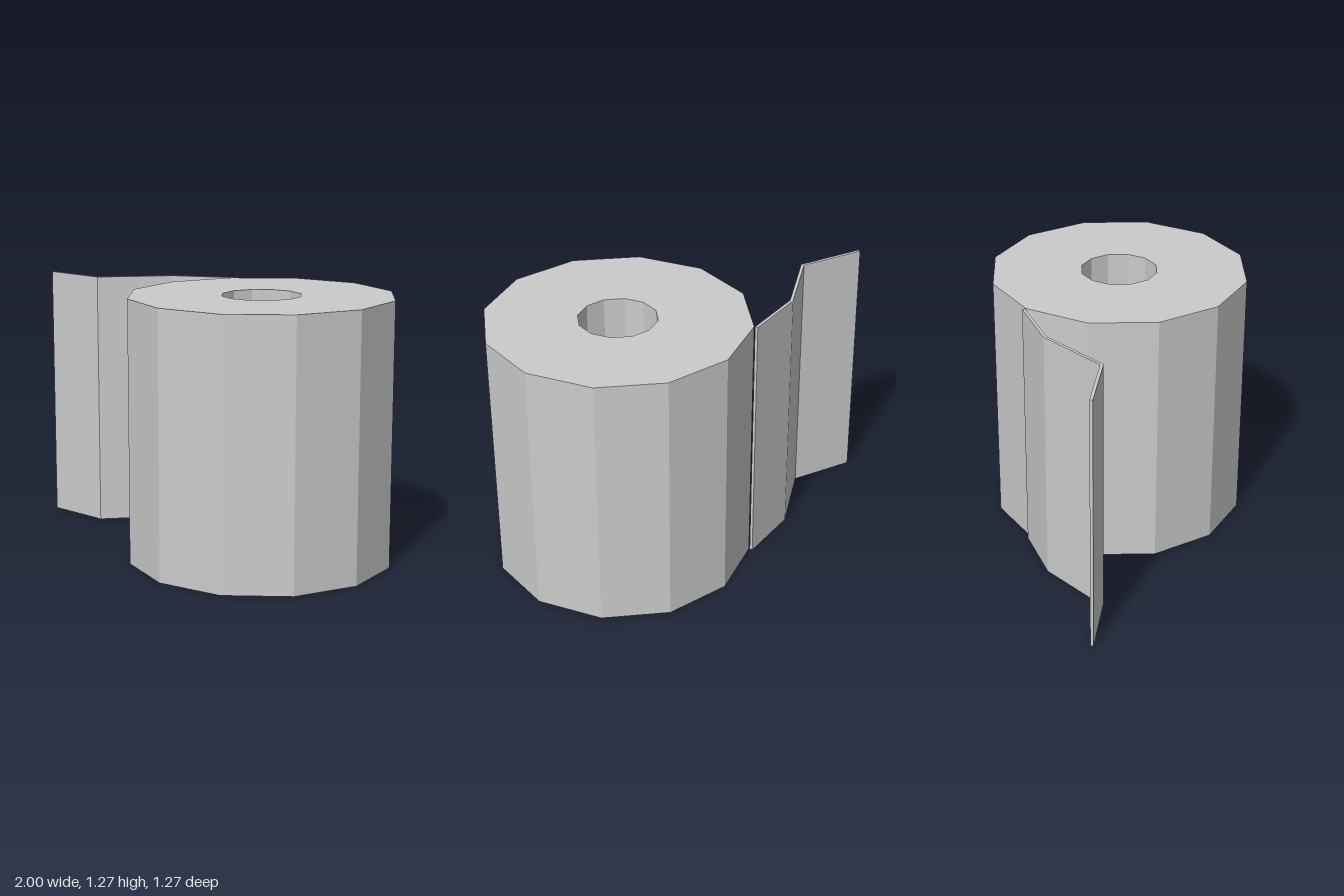
import * as THREE from 'three';

const HEIGHT = 1.273;
const CENTRE_X = 0.363;
const SIDES = 12;

// Corners of a regular polygon around the roll's axis
function ring(radius) {
  return Array.from({ length: SIDES }, (_, i) => {
    const a = (i / SIDES) * Math.PI * 2;
    return new THREE.Vector2(CENTRE_X + radius * Math.cos(a), radius * Math.sin(a));
  });
}

// Closed outline of a path of [x, z] points, thickened with mitred corners
function ribbon(path, thickness) {
  const pts = path.map(([x, z]) => new THREE.Vector2(x, -z));
  const normal = (a, b) => new THREE.Vector2(a.y - b.y, b.x - a.x).normalize();
  const offsets = pts.map((p, i) => {
    const before = normal(pts[Math.max(i - 1, 0)], pts[Math.max(i, 1)]);
    const last = pts.length - 1;
    const after = normal(pts[Math.min(i, last - 1)], pts[Math.min(i + 1, last)]);
    const mitre = before.clone().add(after).normalize();
    return mitre.multiplyScalar(thickness / 2 / mitre.dot(after));
  });
  const left = pts.map((p, i) => p.clone().add(offsets[i]));
  const right = pts.map((p, i) => p.clone().sub(offsets[i]));
  return [...left, ...right.reverse()];
}

// Upright prism from a plan outline
function prism(name, shape, material) {
  const geometry = new THREE.ExtrudeGeometry(shape, { depth: HEIGHT, bevelEnabled: false });
  geometry.rotateX(-Math.PI / 2);
  const mesh = new THREE.Mesh(geometry, material);
  mesh.name = name;
  return mesh;
}

export function createModel() {
  const group = new THREE.Group();
  group.name = 'paperRoll';
  const material = new THREE.MeshStandardMaterial({ color: 0xcccccc, flatShading: true });

  // Wound roll with a hollow core
  const rollShape = new THREE.Shape(ring(0.637));
  rollShape.holes.push(new THREE.Path(ring(0.19)));
  group.add(prism('roll', rollShape, material));

  // Loose folded sheet hanging off the back of the roll
  const path = [[-0.195, -0.329], [-0.457, -0.154], [-0.668, 0.163], [-0.999, 0.197]];
  group.add(prism('looseSheet', new THREE.Shape(ribbon(path, 0.015)), material));

  return group;
}
